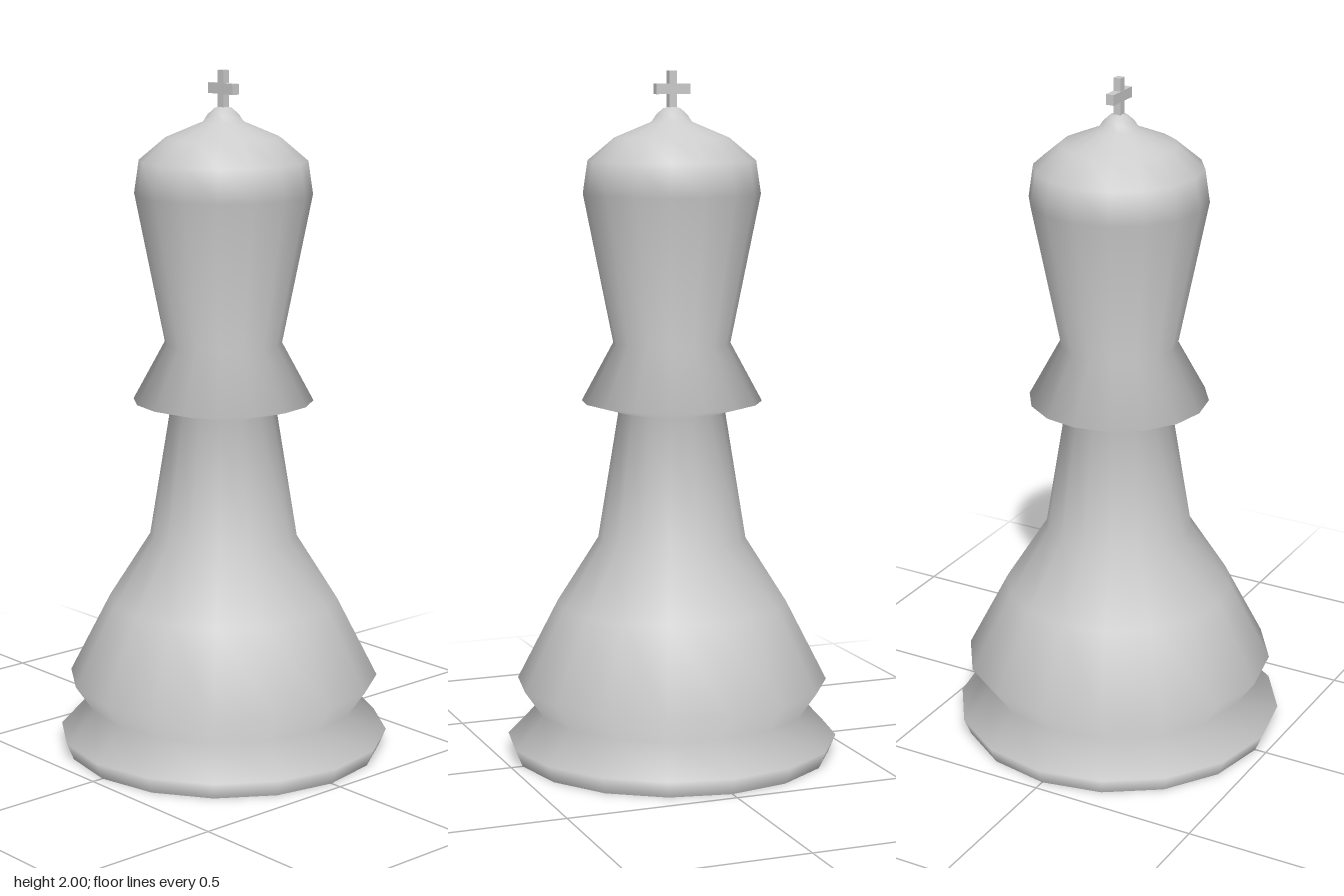
import * as THREE from 'three';

export function createModel() {
  const group = new THREE.Group();
  group.name = 'chessKing';
  const material = new THREE.MeshStandardMaterial({ color: 0xcccccc, side: THREE.DoubleSide });

  function add(name, geometry, y) {
    const mesh = new THREE.Mesh(geometry, material);
    mesh.name = name;
    mesh.position.y = y;
    group.add(mesh);
  }

  // Hollow turned body, open underneath: radius, height from foot to knob
  const profile = [
    [0.465, 0], [0.486, 0.05], // foot
    [0.4, 0.14], [0.456, 0.22], [0.336, 0.455], [0.216, 0.645], // bell
    [0.155, 1.02], [0.262, 1.05], [0.17, 1.22], // stem and collar
    [0.256, 1.65], [0.242, 1.745], [0.165, 1.81], [0.058, 1.855], // head
    [0.045, 1.875], [0.025, 1.893], [0, 1.9], // knob
  ].map(([r, y]) => new THREE.Vector2(r, y));
  add('body', new THREE.LatheGeometry(profile, 16), 0);

  // Cross on top
  add('crossUpright', new THREE.BoxGeometry(0.024, 0.12, 0.022), 1.94);
  add('crossBar', new THREE.BoxGeometry(0.104, 0.03, 0.024), 1.948);

  return group;
}
